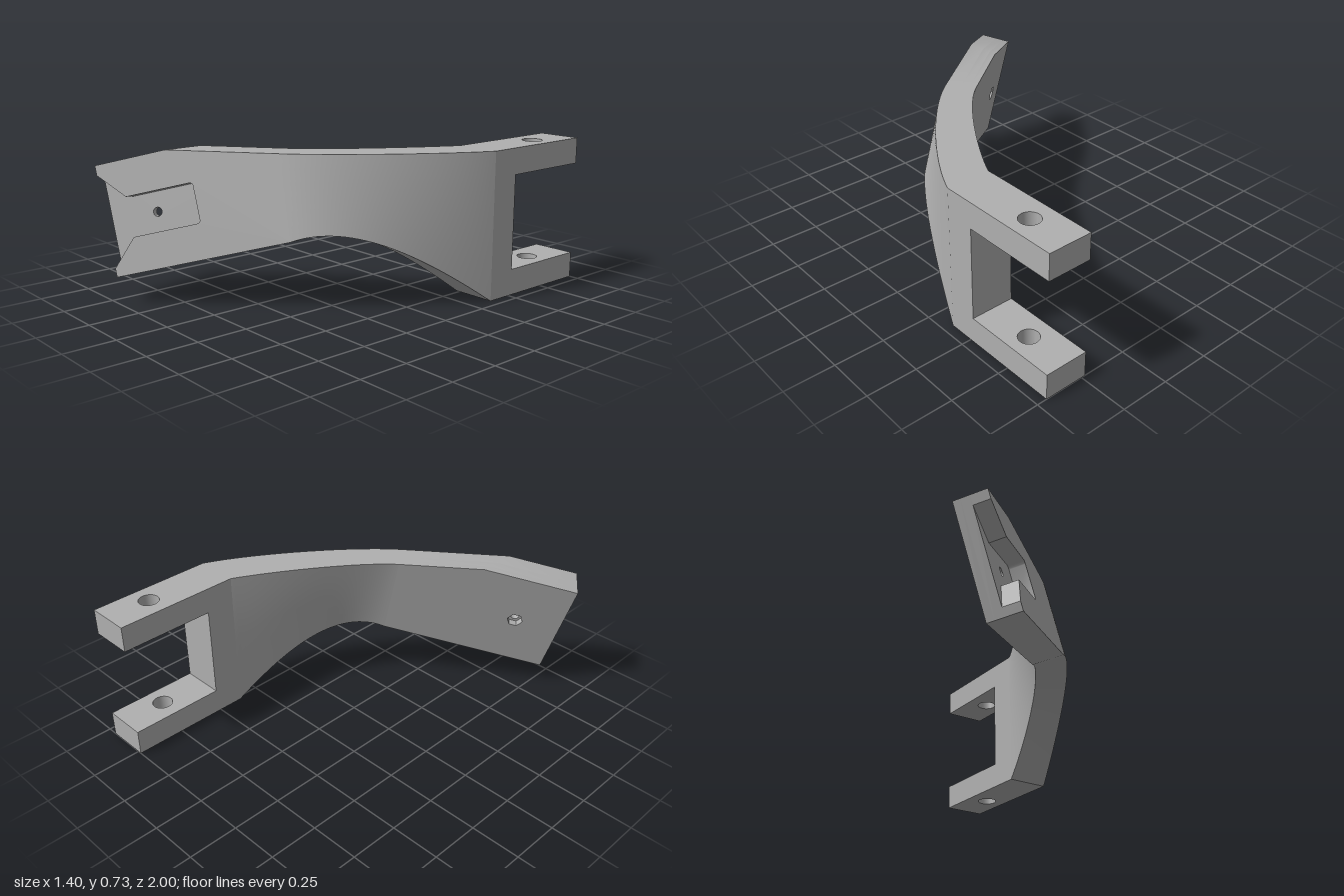
import * as THREE from 'three';
import { toCreasedNormals } from 'three/addons/utils/BufferGeometryUtils.js';

const V = (x, y, z) => new THREE.Vector3(x, y, z);

// Frame of the tilted arm plate: u along the arm, v up its face, w outwards
const origin = V(-0.44, 0.13, 1);
const u = V(1, 0.32, -0.85).normalize();
const v = V(-0.32, 1, 0).normalize();
const w = u.clone().cross(v);
const plate = new THREE.Matrix4().makeBasis(u, v, w).setPosition(origin);
const onPlate = (a, b, c) => V(a, b, c).applyMatrix4(plate);

const THICK = 0.156, HEIGHT = 0.541, TOP = 0.73;
const BEND_LOW = 0.865, BEND_TOP = 0.897;
// Where the level top cuts the plate, which depends on the depth w
const kinkU = (d) => (TOP - origin.y - v.y * HEIGHT - w.y * d) / u.y;
const topV = (d) => (TOP - origin.y - u.y * BEND_TOP - w.y * d) / v.y;

const HOLE = [0.234, 0.268];

function circle(x, y, r, sides) {
  const pts = [];
  for (let i = 0; i < sides; i++) {
    const a = (-i / sides) * Math.PI * 2;
    pts.push(new THREE.Vector2(x + r * Math.cos(a), y + r * Math.sin(a)));
  }
  return new THREE.Path(pts);
}

// One layer of the arm plate between depths d0 and d1, with a level top
function armLayer(d0, d1, hole, pocket) {
  const s = new THREE.Shape();
  s.moveTo(0, 0).lineTo(BEND_LOW, 0);
  s.lineTo(BEND_TOP, topV(0)).lineTo(kinkU(0), HEIGHT).lineTo(0, HEIGHT);
  if (pocket) {
    // flared mouth leading into a slot with rounded corners
    s.lineTo(0, 0.493).lineTo(0.123, 0.365).lineTo(0.442, 0.365);
    s.quadraticCurveTo(0.46, 0.365, 0.46, 0.347);
    s.lineTo(0.46, 0.189);
    s.quadraticCurveTo(0.46, 0.171, 0.442, 0.171);
    s.lineTo(0.123, 0.171).lineTo(0, 0.043);
  }
  s.closePath();
  if (hole) s.holes.push(hole);
  const g = new THREE.ExtrudeGeometry(s, { depth: d1 - d0, bevelEnabled: false, curveSegments: 6 });
  g.translate(0, 0, d0);
  const p = g.attributes.position;
  const near = (a, b) => Math.abs(a - b) < 1e-4;
  for (let i = 0; i < p.count; i++) {
    const d = p.getZ(i);
    if (near(p.getX(i), BEND_TOP)) p.setY(i, topV(d));
    else if (near(p.getX(i), kinkU(0)) && near(p.getY(i), HEIGHT)) p.setX(i, kinkU(d));
  }
  g.applyMatrix4(plate);
  return toCreasedNormals(g, 0.6);
}

// Smooth sheet stretched between two edge curves
function ruled(a, b) {
  const g = new THREE.PlaneGeometry(1, 1, 32, 6);
  const p = g.attributes.position;
  for (let i = 0; i < p.count; i++) {
    const t = p.getX(i) + 0.5, s = p.getY(i) + 0.5;
    const q = a.getPoint(t).lerp(b.getPoint(t), s);
    p.setXYZ(i, q.x, q.y, q.z);
  }
  g.computeVertexNormals();
  return g;
}

export function createModel() {
  const model = new THREE.Group();
  model.name = 'curvedForkBracket';
  const grey = new THREE.MeshStandardMaterial({ color: 0xb0b0b0 });
  grey.name = 'grey';
  const add = (name, geometry) => {
    const m = new THREE.Mesh(geometry, grey);
    m.name = name;
    model.add(m);
    return m;
  };

  // Arm plate: hex nut seat behind, round bolt hole, open pocket in front
  add('armBackLayer', armLayer(-THICK, -THICK + 0.035, circle(...HOLE, 0.04, 6)));
  add('armCoreLayer', armLayer(-THICK + 0.035, -THICK / 2, circle(...HOLE, 0.022, 24)));
  add('armPocketLayer', armLayer(-THICK / 2, 0, null, true));

  // Twisting bend from the tilted plate to the upright fork
  const edge = (...pts) => new THREE.CubicBezierCurve3(...pts);
  const topOuter = edge(onPlate(BEND_TOP, topV(0), 0),
    V(0.3, TOP, 0.28), V(0.6, TOP, -0.13), V(0.7, TOP, -0.37));
  const topInner = edge(onPlate(BEND_TOP, topV(-THICK), -THICK),
    V(0.16, TOP, 0.185), V(0.4, TOP, -0.2), V(0.48, TOP, -0.37));
  const lowOuter = edge(onPlate(BEND_LOW, 0, 0),
    V(0.42, 0.45, 0.27), V(0.58, 0.24, -0.05), V(0.7, 0, -0.37));
  const lowInner = edge(onPlate(BEND_LOW, 0, -THICK),
    V(0.28, 0.41, 0.17), V(0.41, 0.24, -0.06), V(0.48, 0, -0.37));
  add('bendOuterFace', ruled(lowOuter, topOuter));
  add('bendTopFace', ruled(topOuter, topInner));
  add('bendInnerFace', ruled(topInner, lowInner));
  add('bendUnderside', ruled(lowInner, lowOuter));

  // Fork root and its two drilled prongs
  add('forkRoot', new THREE.BoxGeometry(0.22, TOP, 0.15)).position.set(0.59, TOP / 2, -0.445);
  for (const [name, y] of [['lowerProng', 0], ['upperProng', 0.6]]) {
    const s = new THREE.Shape();
    s.moveTo(0.48, 0.52).lineTo(0.7, 0.52).lineTo(0.7, 1).lineTo(0.48, 1).closePath();
    s.holes.push(circle(0.595, 0.77, 0.05, 32));
    const g = new THREE.ExtrudeGeometry(s, { depth: 0.13, bevelEnabled: false });
    g.rotateX(-Math.PI / 2);
    add(name, toCreasedNormals(g, 0.6)).position.y = y;
  }
  return model;
}
